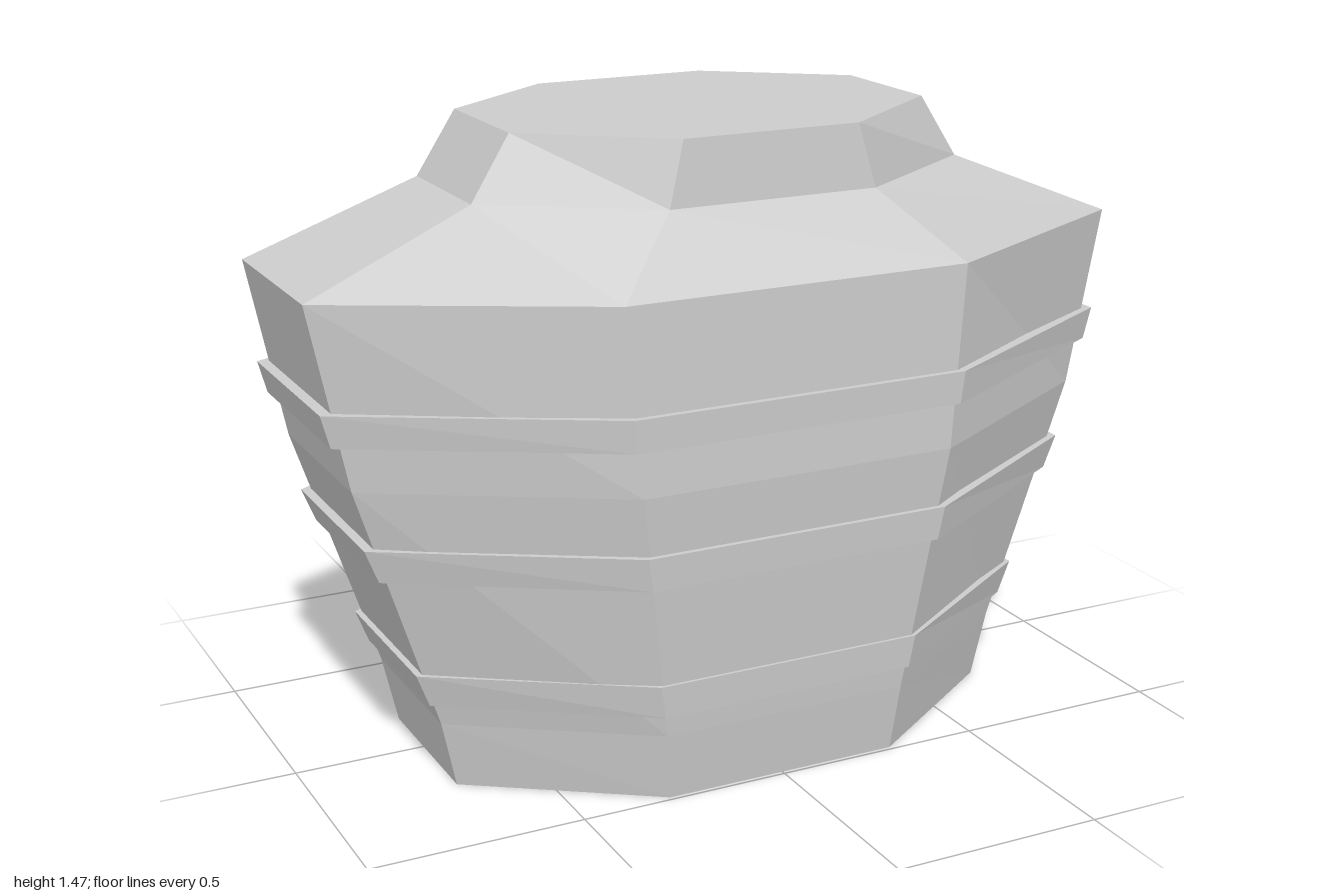
import * as THREE from 'three';

const SIDES = 8;
const CENTRE_Z = 0.023;

const material = new THREE.MeshStandardMaterial({
  color: 0xcccccc,
  flatShading: true,
  side: THREE.DoubleSide,
});

// Stack of stretched octagons, each [y, half width, half depth]; closed on top, open below.
function octagonShell(name, sections) {
  const positions = [];
  const index = [];
  const stretch = 1 / Math.cos(Math.PI / SIDES);
  for (const [y, w, d] of sections) {
    for (let i = 0; i < SIDES; i++) {
      const a = ((i + 0.5) / SIDES) * Math.PI * 2;
      positions.push(Math.sin(a) * w * stretch, y, Math.cos(a) * d * stretch + CENTRE_Z);
    }
  }
  // Walls
  for (let s = 0; s < sections.length - 1; s++) {
    for (let i = 0; i < SIDES; i++) {
      const j = (i + 1) % SIDES;
      const low = s * SIDES;
      const high = low + SIDES;
      index.push(high + i, low + i, low + j, high + i, low + j, high + j);
    }
  }
  // Top cap
  const top = (sections.length - 1) * SIDES;
  for (let i = 1; i < SIDES - 1; i++) index.push(top, top + i, top + i + 1);

  const indexed = new THREE.BufferGeometry();
  indexed.setAttribute('position', new THREE.Float32BufferAttribute(positions, 3));
  indexed.setIndex(index);
  const geometry = indexed.toNonIndexed();
  geometry.computeVertexNormals();
  const mesh = new THREE.Mesh(geometry, material);
  mesh.name = name;
  return mesh;
}

export function createModel() {
  const model = new THREE.Group();
  model.name = 'bandedTorso';

  // Tapered body with sloping shoulders and a short collar
  model.add(octagonShell('body', [
    [0, 0.69, 0.467],
    [0.16, 0.725, 0.485],
    [0.745, 0.915, 0.538],
    [1.165, 1.0, 0.527],
    [1.325, 0.605, 0.4],
    [1.47, 0.513, 0.387],
  ]));

  // Three raised bands around the body
  const bands = [
    [[0.212, 0.752, 0.499], [0.29, 0.782, 0.504]],
    [[0.53, 0.862, 0.533], [0.608, 0.893, 0.538]],
    [[0.85, 0.957, 0.546], [0.925, 0.977, 0.548]],
  ];
  bands.forEach((sections, i) => model.add(octagonShell(`band${i + 1}`, sections)));

  // Upright rod on the back
  const rod = new THREE.Mesh(new THREE.BoxGeometry(0.06, 1.215, 0.067), material);
  rod.name = 'backRod';
  rod.position.set(0, 0.6625, -0.5365);
  model.add(rod);

  return model;
}
